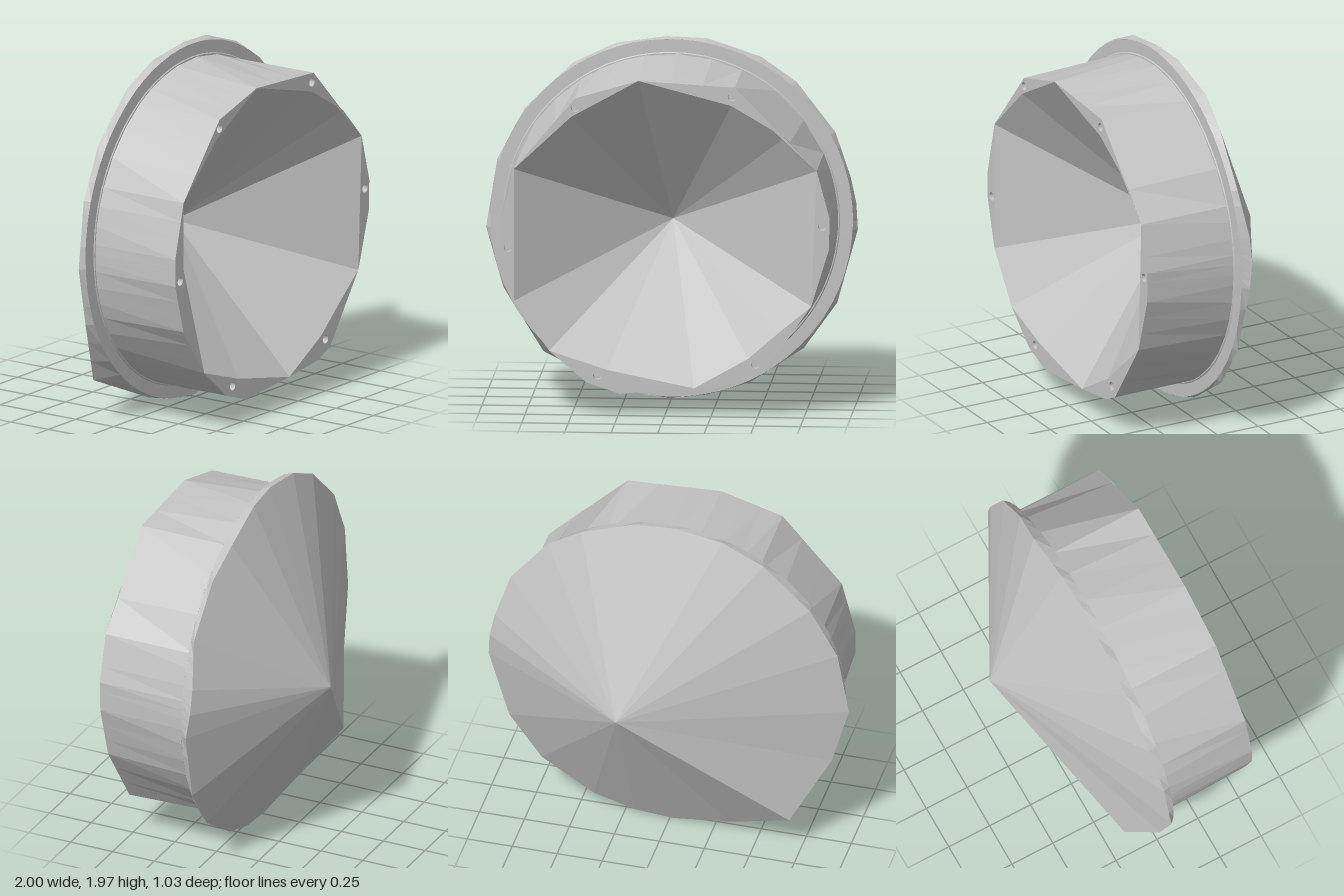
import * as THREE from 'three';

const CY = 0.995, FRONT = 0.507, SEAT = -0.02;

// Mounting tabs, counter-clockwise: outer edge, inner edge, screw hole centre
const TABS = [
  { outer: [[0.79, 0.62], [0.885, 0.93], [0.89, 1.1], [0.82, 1.36]], inner: [], hole: [0.85, 1.06] },
  { outer: [[0.82, 1.36], [0.38, 1.81], [-0.14, 1.84]], inner: [[0.65, 1.54], [0.36, 1.71]], hole: [0.365, 1.76] },
  { outer: [[-0.14, 1.84], [-0.48, 1.74], [-0.81, 1.35]], inner: [[-0.5, 1.64]], hole: [-0.48, 1.69] },
  { outer: [[-0.81, 1.35], [-0.885, 1.05], [-0.885, 0.9], [-0.81, 0.63]], inner: [], hole: [-0.84, 0.92] },
  { outer: [[-0.62, 0.36], [-0.42, 0.19], [-0.24, 0.13], [0.16, 0.165]], inner: [[-0.31, 0.26]], hole: [-0.36, 0.23] },
  { outer: [[0.16, 0.165], [0.42, 0.2], [0.53, 0.25], [0.79, 0.62]], inner: [[0.45, 0.33], [0.61, 0.47]], hole: [0.49, 0.3] },
];

// Uneven rim of the back cone, counter-clockwise from the right
const BACK_RIM = [
  [1.0, 0.94, -0.06], [0.99, 1.08, -0.08], [0.96, 1.22, -0.08], [0.88, 1.47, -0.05], [0.67, 1.74, -0.06],
  [0.48, 1.87, -0.08], [0.19, 1.97, -0.07], [-0.03, 1.98, -0.06], [-0.3, 1.94, -0.065], [-0.53, 1.83, -0.07],
  [-0.79, 1.58, -0.07], [-0.94, 1.3, -0.06], [-1.0, 0.93, -0.05], [-0.91, 0.6, -0.07], [-0.7, 0.23, -0.17],
  [-0.34, 0.07, -0.06], [-0.02, 0.01, -0.03], [0.19, 0.03, -0.035], [0.42, 0.1, -0.04], [0.71, 0.29, -0.045],
  [0.89, 0.54, -0.045],
];

const toRing = (pts, z) => pts.map(([x, y]) => new THREE.Vector3(x, y, z))
  .filter((p, i, a) => p.distanceTo(a[(i + 1) % a.length]) > 1e-4);

const subdivide = (ring, n) => ring.flatMap((p, i) =>
  Array.from({ length: n }, (_, k) => p.clone().lerp(ring[(i + 1) % ring.length], k / n)));

// Push every point of a ring onto a circle, keeping its angle
const ontoCircle = (ring, r, z) => ring.map((p) => {
  const a = Math.atan2(p.y - CY, p.x);
  return new THREE.Vector3(r * Math.cos(a), CY + r * Math.sin(a), z);
});

const circle = (r, z, n = 64) => Array.from({ length: n }, (_, i) => {
  const a = (i / n) * Math.PI * 2;
  return new THREE.Vector3(r * Math.cos(a), CY + r * Math.sin(a), z);
});

// Faceted skin through a list of rings of equal length
function loft(rings) {
  const pts = [];
  const tri = new THREE.Triangle();
  const add = (a, b, c) => {
    if (tri.set(a, b, c).getArea() > 1e-7) pts.push(a, b, c);
  };
  for (let k = 0; k + 1 < rings.length; k++) {
    const a = rings[k], b = rings[k + 1];
    a.forEach((p, i) => {
      const j = (i + 1) % a.length;
      add(p, b[i], a[j]);
      add(b[i], b[j], a[j]);
    });
  }
  const g = new THREE.BufferGeometry().setFromPoints(pts);
  g.computeVertexNormals();
  return g;
}

export function createModel() {
  const model = new THREE.Group();
  const grey = new THREE.MeshStandardMaterial({ color: 0xc4c4c4, side: THREE.DoubleSide });
  grey.name = 'light grey';
  const add = (name, geometry) => {
    const mesh = new THREE.Mesh(geometry, grey);
    mesh.name = name;
    model.add(mesh);
    return mesh;
  };

  // Drum: irregular front rim blending into a round seat
  const drumRim = subdivide(toRing(TABS.flatMap((t) => t.outer), FRONT), 3);
  add('drum', loft([drumRim, ontoCircle(drumRim, 0.897, SEAT)]));

  // Deep funnel sunk into the front, its tip reaching into the back cone
  const funnelRim = toRing(TABS.flatMap((t) => [t.outer[0], ...t.inner, t.outer.at(-1)]), FRONT);
  const funnelTip = new THREE.Vector3(0, 0.97, -0.145);
  add('frontFunnel', loft([funnelRim.map(() => funnelTip), funnelRim]));

  // Flat tabs with blind screw holes
  for (const { outer, inner, hole } of TABS) {
    const corners = [...outer, ...inner.slice().reverse()].map(([x, y]) => new THREE.Vector2(x, y));
    const shape = new THREE.Shape(corners);
    shape.holes.push(new THREE.Path().absarc(hole[0], hole[1], 0.024, 0, Math.PI * 2, true));
    add('tab', new THREE.ShapeGeometry(shape, 8)).position.z = FRONT;
    const wall = new THREE.CylinderGeometry(0.024, 0.024, 0.04, 16, 1, true).rotateX(Math.PI / 2);
    add('screwHoleWall', wall).position.set(hole[0], hole[1], FRONT - 0.02);
    add('screwHoleFloor', new THREE.CircleGeometry(0.024, 16)).position.set(hole[0], hole[1], FRONT - 0.04);
  }

  // Flange with a small step around the drum
  add('flange', loft([circle(0.89, -0.015), circle(0.902, -0.015), circle(0.907, -0.02), circle(0.976, -0.022)]));

  // Back cone with its off-centre tip
  const backRim = subdivide(BACK_RIM.map((p) => new THREE.Vector3(...p)), 3);
  const backTip = new THREE.Vector3(0.17, 0.97, -0.52);
  add('flangeEdge', loft([ontoCircle(backRim, 0.976, -0.022), backRim]));
  add('backCone', loft([backRim, backRim.map(() => backTip)]));

  return model;
}
